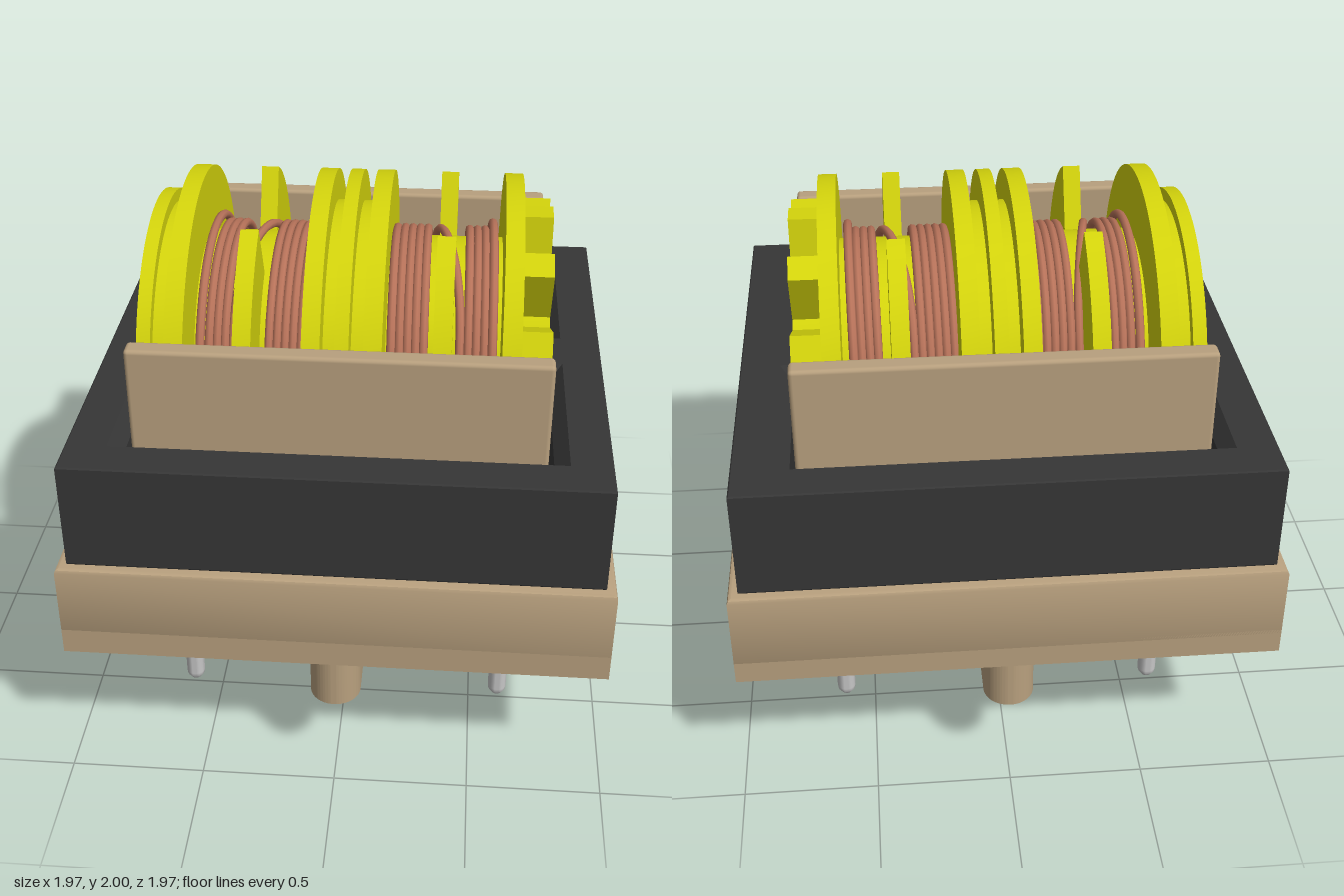
import * as THREE from 'three';
import { toCreasedNormals } from 'three/addons/utils/BufferGeometryUtils.js';
import { RoundedBoxGeometry } from 'three/addons/geometries/RoundedBoxGeometry.js';

const mat = (color) => new THREE.MeshStandardMaterial({ color });
const AXIS_Y = 1.333; // height of the bobbin axis, which runs along x
const rad = THREE.MathUtils.degToRad;

const poly = (pts, Type = THREE.Shape) => new Type(pts.map(([x, y]) => new THREE.Vector2(x, y)));
const rect = (w, d, Type) => poly([[-w, -d], [w, -d], [w, d], [-w, d]], Type);

function extrude(shape, depth, bevel = 0) {
  const geo = new THREE.ExtrudeGeometry(shape, {
    depth: depth - 2 * bevel, curveSegments: 48, bevelEnabled: bevel > 0,
    bevelSize: bevel, bevelThickness: bevel, bevelOffset: -bevel, bevelSegments: 2,
  });
  geo.translate(0, 0, bevel);
  return toCreasedNormals(geo, 0.5);
}
// Horizontal slab between two heights
const slab = (shape, y0, y1, bevel) =>
  extrude(shape, y1 - y0, bevel).rotateX(-Math.PI / 2).translate(0, y0, 0);
// Piece extruded along the bobbin axis
const along = (shape, x0, x1) =>
  extrude(shape, x1 - x0).rotateY(Math.PI / 2).translate(x0, AXIS_Y, 0);

// Ring, or sector of a ring, about the bobbin axis
function ring(R, r, gap = 0) {
  const s = new THREE.Shape();
  if (gap) {
    const a0 = Math.PI / 2 + gap, a1 = Math.PI * 2.5 - gap;
    s.absarc(0, 0, R, a0, a1, false);
    s.absarc(0, 0, r, a1, a0, true);
  } else {
    s.absarc(0, 0, R, 0, Math.PI * 2, false);
    s.holes.push(new THREE.Path().absarc(0, 0, r, 0, Math.PI * 2, true));
  }
  return s;
}

// Base outline with two notches on each x side
function baseOutline() {
  const side = [[0.985, -0.985], [0.985, -0.57], [0.87, -0.55], [0.87, -0.39], [0.985, -0.37],
    [0.985, 0.37], [0.87, 0.39], [0.87, 0.55], [0.985, 0.57], [0.985, 0.985]];
  return poly([...side, ...side.map(([x, y]) => [-x, -y])]);
}

export function createModel() {
  const model = new THREE.Group();
  const tan = mat(0xb8a07e), black = mat(0x363636), yellow = mat(0xd4d40c);
  const copper = mat(0xb8735a), metal = mat(0xcccccc);
  const add = (name, geo, material, parent = model) => {
    const m = new THREE.Mesh(geo, material);
    m.name = name;
    parent.add(m);
    return m;
  };

  // Base: floor with opening, and hollow rim above it
  const floor = baseOutline();
  const half = [[0.165, -0.66], [0.55, -0.66], [0.55, 0.66], [0.165, 0.66], [0.165, 0.35]];
  floor.holes.push(poly([[0.165, -0.35], ...half,
    ...[[0.165, -0.35], ...half].map(([x, y]) => [-x, -y])], THREE.Path));
  add('baseFloor', slab(floor, 0.55, 0.65), tan);
  const rim = baseOutline();
  rim.holes.push(rect(0.74, 0.7, THREE.Path));
  add('baseRim', slab(rim, 0.62, 0.92, 0.015), tan);

  // Upright walls with lips at their ends
  for (const s of [1, -1]) {
    const wall = new THREE.Group();
    wall.name = s > 0 ? 'frontWall' : 'backWall';
    add('wallPanel', new RoundedBoxGeometry(1.46, 1.06, 0.075, 2, 0.015).translate(0, 1.145, 0.7), tan, wall);
    for (const e of [1, -1]) {
      const lip = poly([[0.62, 0.7], [0.73, 0.7], [0.73, 0.64], [0.65, 0.64]].map(([x, z]) => [e * x, -z]));
      add('wallLip', slab(lip, 0.62, 1.63), tan, wall);
    }
    wall.rotation.y = s > 0 ? 0 : Math.PI;
    model.add(wall);
  }

  // Stadium shaped feet, one at the middle of each side
  const foot = new THREE.Shape();
  foot.absarc(0, 0.073, 0.0925, 0, Math.PI, false);
  foot.absarc(0, -0.073, 0.0925, Math.PI, Math.PI * 2, false);
  for (const [x, z] of [[0.89, 0], [-0.89, 0], [0, 0.818], [0, -0.818]]) {
    add('foot', slab(foot, 0.36, 0.56).translate(x, 0, z), tan);
  }

  // Core frame: four-sided lathe with a chamfered inner edge
  const k = Math.SQRT2;
  const frame = new THREE.LatheGeometry(
    [[0.75, 0.92], [0.945, 0.92], [0.948, 0.925], [0.948, 1.325], [0.943, 1.33], [0.8, 1.33], [0.75, 1.28], [0.75, 0.92]]
      .map(([r, y]) => new THREE.Vector2(r * k, y)), 4).rotateY(Math.PI / 4);
  add('coreFrame', toCreasedNormals(frame, 0.3), black);
  // Core leg through the bobbin
  const leg = poly([[-0.18, 1.12], [0.18, 1.12], [0.18, 1.25], [0.1, 1.33], [-0.1, 1.33], [-0.18, 1.25]]);
  add('coreLeg', extrude(leg, 1.6).rotateY(Math.PI / 2).translate(-0.8, 0, 0), black);

  // Bobbin: tube, flanges and split partitions
  const bobbin = new THREE.Group();
  bobbin.name = 'bobbin';
  model.add(bobbin);
  const BORE = 0.287;
  add('tube', along(ring(0.425, BORE), -0.6, 0.6), yellow, bobbin);
  for (const [x0, x1, R] of [
    [-0.735, -0.685, 0.575], [-0.69, -0.615, 0.53], [-0.62, -0.553, 0.667],
    [-0.14, -0.075, 0.667], [-0.08, -0.02, 0.55], [-0.025, 0.025, 0.667],
    [0.02, 0.08, 0.55], [0.075, 0.14, 0.667], [0.553, 0.62, 0.667],
  ]) add('flange', along(ring(R, BORE), x0, x1), yellow, bobbin);
  for (const x of [-0.38, 0.315]) {
    add('partition', along(ring(0.667, BORE, rad(26)), x, x + 0.065), yellow, bobbin);
  }

  // Gear-like end: a hub ring with tapered teeth above and below
  const gear = new THREE.Group();
  gear.name = 'toothedEnd';
  bobbin.add(gear);
  add('hub', along(ring(0.36, BORE), 0.615, 0.73), yellow, gear);
  for (const turn of [0, 180]) {
    for (let a = -60; a <= 60; a += 30) {
      const tooth = poly([[-0.075, 0.345], [0.075, 0.345], [0.05, 0.575], [-0.05, 0.575]]);
      const geo = extrude(tooth, 0.115).rotateZ(rad(a + turn)).rotateY(Math.PI / 2);
      add('tooth', geo.translate(0.615, AXIS_Y, 0), yellow, gear);
    }
  }

  // Windings: lead from a pin, two helical layers joined over the split partition, lead to a pin
  for (const s of [1, -1]) {
    const pts = [];
    const put = (x, y, z) => pts.push(new THREE.Vector3(s * x, y, z));
    put(0.62, 0.53, 0.47); put(0.5, 0.53, 0.47); put(0.4, 0.53, 0.47);
    put(0.365, 0.545, 0.47); put(0.36, 0.6, 0.47); put(0.42, 0.95, 0.47);
    const STEPS = 28, TURNS = 9.5;
    for (let i = 0; i <= STEPS * TURNS; i++) {
      const t = i / STEPS, a = Math.PI / 2 - t * Math.PI * 2;
      // Nine turns: five in the outer bay, then the crossover, then four in the inner bay
      const cross = THREE.MathUtils.smoothstep(t, 4.1, 4.4);
      const x = 0.525 - 0.029 * t - cross * 0.1;
      const R = t < 0.5 ? 0.48 : 0.452;
      put(x, AXIS_Y + R * Math.cos(a), R * Math.sin(a));
    }
    put(0.24, 0.95, -0.47); put(0.33, 0.6, -0.47); put(0.345, 0.545, -0.47);
    put(0.38, 0.53, -0.47); put(0.5, 0.53, -0.47); put(0.62, 0.53, -0.47);
    const path = new THREE.CatmullRomCurve3(pts);
    path.arcLengthDivisions = 1200;
    add(s > 0 ? 'leftWinding' : 'rightWinding', new THREE.TubeGeometry(path, 500, 0.0165, 8), copper);
  }

  // Pins with a thick shoulder and a rounded tip
  const pin = [[0, 0], [0.02, 0.005], [0.034, 0.025], [0.036, 0.04], [0.036, 0.39], [0.055, 0.47], [0.055, 0.6], [0, 0.6]]
    .map(([r, y]) => new THREE.Vector2(r, y));
  for (const x of [-0.615, 0.615]) for (const z of [-0.47, 0.47]) {
    add('pin', toCreasedNormals(new THREE.LatheGeometry(pin, 24), 0.7).translate(x, 0, z), metal);
  }
  return model;
}
